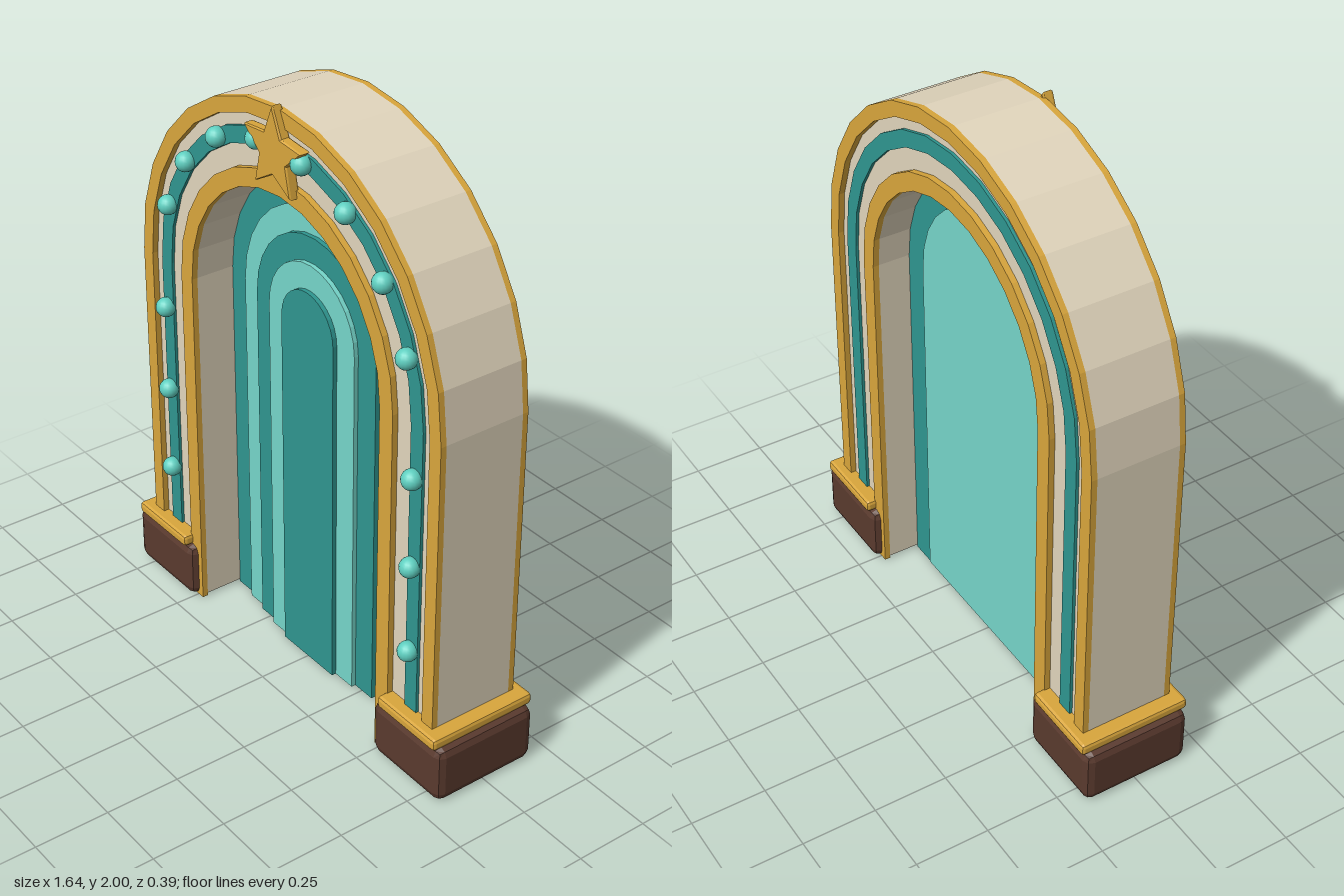
import * as THREE from 'three';
import { RoundedBoxGeometry } from 'three/addons/geometries/RoundedBoxGeometry.js';

const mat = (color, flatShading = true) => new THREE.MeshStandardMaterial({ color, flatShading });
const gold = mat(0xd9a63c), cream = mat(0xe2d6bd), teal = mat(0x2f9690);
const mint = mat(0x76d6ca), brown = mat(0x5a3a2e), bulb = mat(0x5fcfc0, false);

const SPRING = 1.23; // height where the legs turn into the half circle
const SEGMENTS = 14;

// Points of an upside-down U, from the right foot over the top to the left foot
function archPoints(r, bottom) {
  const pts = [new THREE.Vector2(r, bottom)];
  for (let i = 0; i <= SEGMENTS; i++) {
    const a = (Math.PI * i) / SEGMENTS;
    pts.push(new THREE.Vector2(r * Math.cos(a), SPRING + r * Math.sin(a)));
  }
  pts.push(new THREE.Vector2(-r, bottom));
  return pts;
}

// Arch band between two radii (inner 0 gives a solid panel), from z0 to z1
function arch(outer, inner, z0, z1, bottom = 0) {
  const pts = archPoints(outer, bottom);
  if (inner > 0) pts.push(...archPoints(inner, bottom).reverse());
  const geo = new THREE.ExtrudeGeometry(new THREE.Shape(pts), { depth: z1 - z0, bevelEnabled: false });
  return geo.translate(0, 0, z0);
}

export function createModel() {
  const model = new THREE.Group();
  const add = (name, geo, material, x = 0, y = 0, z = 0) => {
    const mesh = new THREE.Mesh(geo, material);
    mesh.name = name;
    mesh.position.set(x, y, z);
    model.add(mesh);
    return mesh;
  };

  // Frame body with raised bands on the front and back
  add('archBody', arch(0.75, 0.475, -0.14, 0.14, 0.01), cream);
  for (const [side, s] of [['front', 1], ['back', -1]]) {
    const band = (outer, inner, top, bottom) =>
      arch(outer, inner, s > 0 ? 0.13999 : -top, s > 0 ? top : -0.13999, bottom);
    add(side + 'OuterTrim', band(0.75, 0.7, 0.16, 0.01), gold);
    add(side + 'TealBand', band(0.66, 0.605, 0.15, 0.01), teal);
    add(side + 'InnerTrim', band(0.535, 0.475, 0.16, 0), gold);
  }

  // Stepped panel filling the opening
  [0.475, 0.385, 0.3, 0.215, 0.13].forEach((r, i) => {
    const back = i === 1 ? -0.033 : -0.03 + i * 0.002;
    add('doorPanel' + (i + 1), arch(r, 0, back, 0.005 + i * 0.015), i % 2 ? mint : teal);
  });

  // Feet and their gold caps, bulbs along the teal band
  const bulbs = [[0.63, 0.455], [0.63, 0.76], [0.63, 1.065], [0.595, 1.445],
    [0.485, 1.635], [0.315, 1.78], [0.11, 1.85]];
  for (const [side, s] of [['left', 1], ['right', -1]]) {
    add(side + 'Foot', new RoundedBoxGeometry(0.325, 0.195, 0.375, 1, 0.028), brown, s * 0.6575, 0.0975, 0);
    add(side + 'FootCap', new RoundedBoxGeometry(0.275, 0.04, 0.39, 1, 0.012), gold, s * 0.6625, 0.213, 0);
    bulbs.forEach(([x, y], i) =>
      add(side + 'Bulb' + (i + 1), new THREE.SphereGeometry(0.033, 16, 12), bulb, s * x, y, 0.163));
  }

  // Star at the crown
  const star = new THREE.Shape();
  for (let i = 0; i < 10; i++) {
    const r = i % 2 ? 0.064 : 0.14, a = Math.PI / 2 + (i * Math.PI) / 5;
    star[i ? 'lineTo' : 'moveTo'](r * Math.cos(a), r * Math.sin(a));
  }
  star.closePath();
  const starGeo = new THREE.ExtrudeGeometry(star, {
    depth: 0.024, bevelEnabled: true, bevelThickness: 0.006, bevelSize: 0.004, bevelSegments: 1,
  });
  add('star', starGeo, gold, 0, 1.85, 0.156);

  return model;
}
